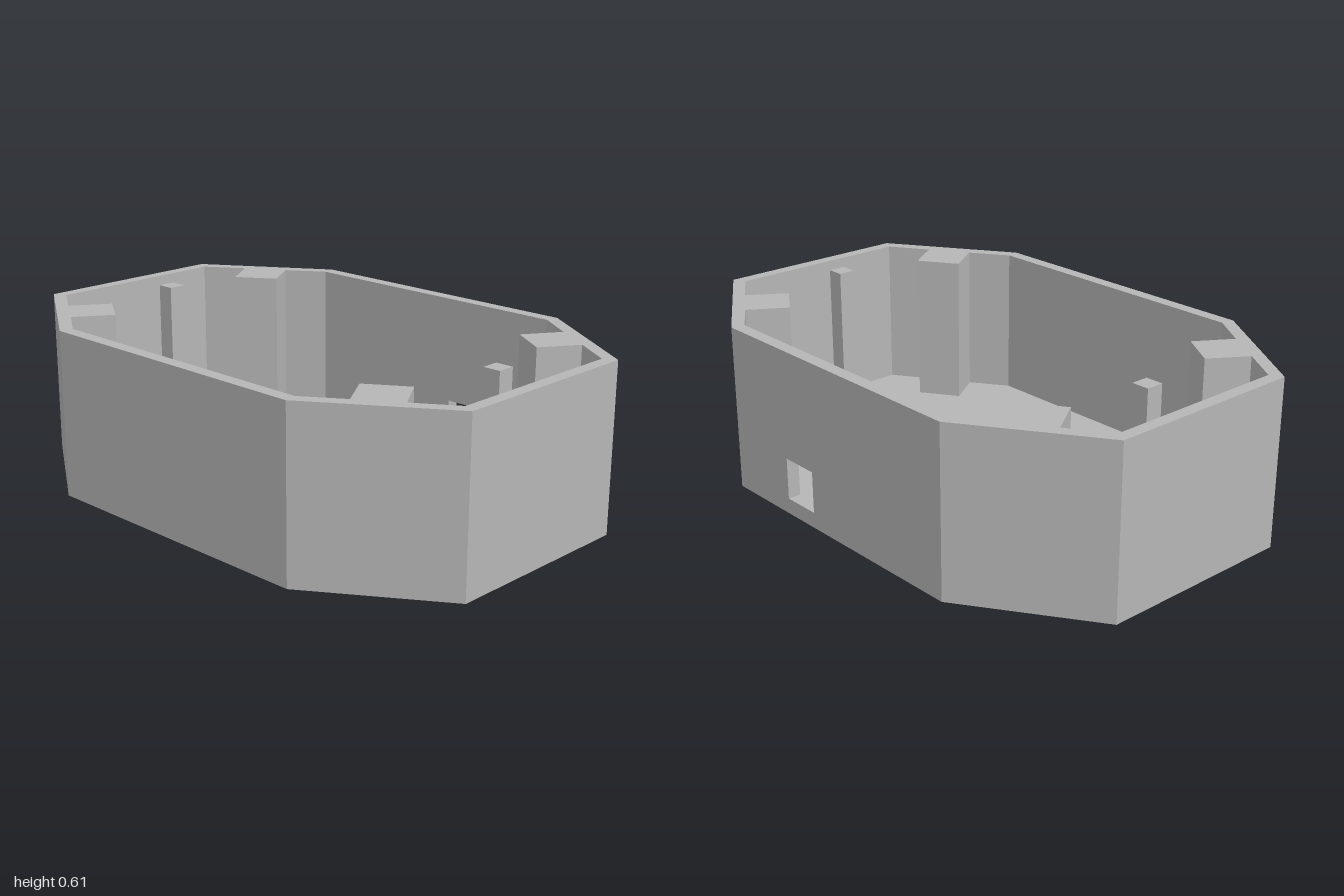
import * as THREE from 'three';

const HEIGHT = 0.6, FLOOR = 0.045, BACK_X = 0.54;

// Shape from [x, z] points on the ground plan
const plan = (pts) => new THREE.Shape(pts.map(([x, z]) => new THREE.Vector2(x, -z)));

// Extrude a ground plan upwards from y0 to y1
function extrudeUp(shape, y0, y1) {
  const geo = new THREE.ExtrudeGeometry(shape, { depth: y1 - y0, bevelEnabled: false });
  return geo.rotateX(-Math.PI / 2).translate(0, y0, 0);
}

export function createModel() {
  const group = new THREE.Group();
  const grey = new THREE.MeshStandardMaterial({ color: 0xb6b6b6 });
  grey.name = 'grey';
  const add = (name, geo) => {
    const mesh = new THREE.Mesh(geo, grey);
    mesh.name = name;
    group.add(mesh);
  };
  const flip = (pts, sx, sz) => pts.map(([x, z]) => [x * sx, z * sz]);

  // Floor: octagon plate
  const corner = [[1, 0.367], [0.55, 0.667]];
  const octagon = [
    ...corner, ...flip(corner, -1, 1).reverse(),
    ...flip(corner, -1, -1), ...flip(corner, 1, -1).reverse(),
  ];
  add('floor', extrudeUp(plan(octagon), 0, FLOOR));

  // Walls with a square screw block in every chamfered corner, open at the back
  const inner = [[0.955, 0.343], [0.815, 0.436], [0.728, 0.305], [0.59, 0.396], [0.675, 0.528], [0.54, 0.62]];
  const wallPlan = [
    [BACK_X, -0.667], ...flip(corner, 1, -1).reverse(),
    ...corner, ...flip(corner, -1, 1).reverse(),
    ...flip(corner, -1, -1), [-BACK_X, -0.667],
    ...flip(inner, -1, -1).reverse(), ...flip(inner, -1, 1),
    ...flip(inner, 1, 1).reverse(), ...flip(inner, 1, -1),
  ];
  add('walls', extrudeUp(plan(wallPlan), FLOOR, HEIGHT));

  // Back wall with a small square cable opening
  const rect = (target, x0, y0, x1, y1) =>
    target.moveTo(x0, y0).lineTo(x1, y0).lineTo(x1, y1).lineTo(x0, y1).closePath();
  const back = rect(new THREE.Shape(), -BACK_X, FLOOR, BACK_X, HEIGHT);
  back.holes.push(rect(new THREE.Path(), 0.11, 0.057, 0.256, 0.207));
  add('backWall', new THREE.ExtrudeGeometry(back, { depth: 0.047, bevelEnabled: false }).translate(0, 0, -0.667));

  // Two slim posts standing near the short walls
  for (const [name, x] of [['rightPost', -0.765], ['leftPost', 0.797]]) {
    const h = 0.61 - FLOOR;
    add(name, new THREE.BoxGeometry(0.065, h, 0.065).translate(x, FLOOR + h / 2, -0.011));
  }
  return group;
}
